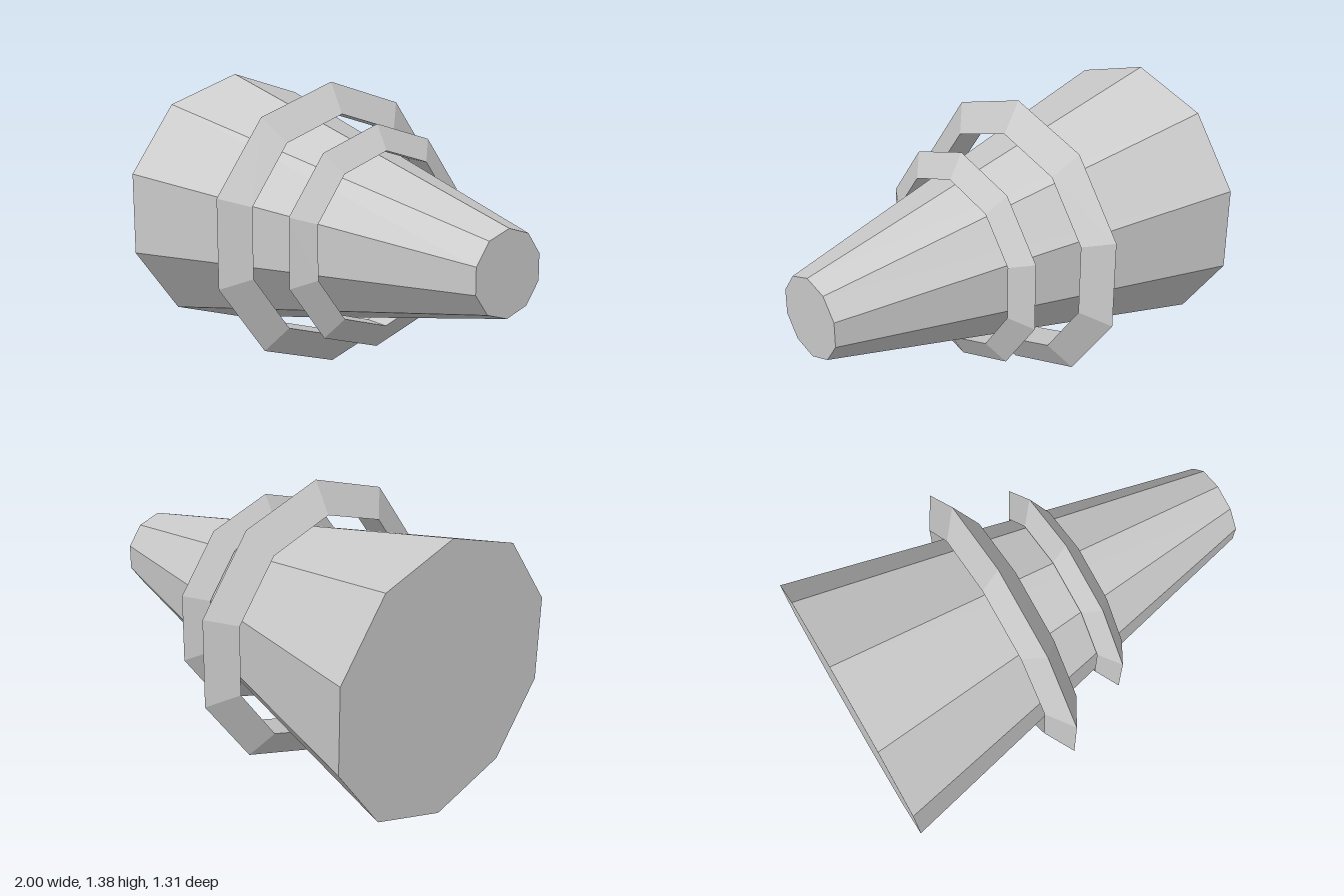
import * as THREE from 'three';

const SIDES = 10;
const AXIS_Y = 0.694;

export function createModel() {
  const group = new THREE.Group();
  const material = new THREE.MeshStandardMaterial({ color: 0xcccccc, flatShading: true });

  function add(name, geometry, x) {
    const mesh = new THREE.Mesh(geometry, material);
    mesh.name = name;
    mesh.position.set(x, AXIS_Y, 0);
    group.add(mesh);
  }

  // Tapered body along x, wide end at -x, with a corner at the top
  const body = new THREE.CylinderGeometry(0.195, 0.655, 2, SIDES);
  body.rotateY(Math.PI / 2).rotateZ(-Math.PI / 2);
  add('taperedBody', body, 0);

  // Floating rings with a triangular section, sharp edge outwards
  function addRing(name, x, radius, tube) {
    const ring = new THREE.TorusGeometry(radius, tube, 3, SIDES);
    ring.rotateZ(Math.PI / 2).rotateY(Math.PI / 2);
    add(name, ring, x);
  }
  addRing('largeRing', -0.19, 0.594, 0.096);
  addRing('smallRing', 0.15, 0.453, 0.077);

  return group;
}
